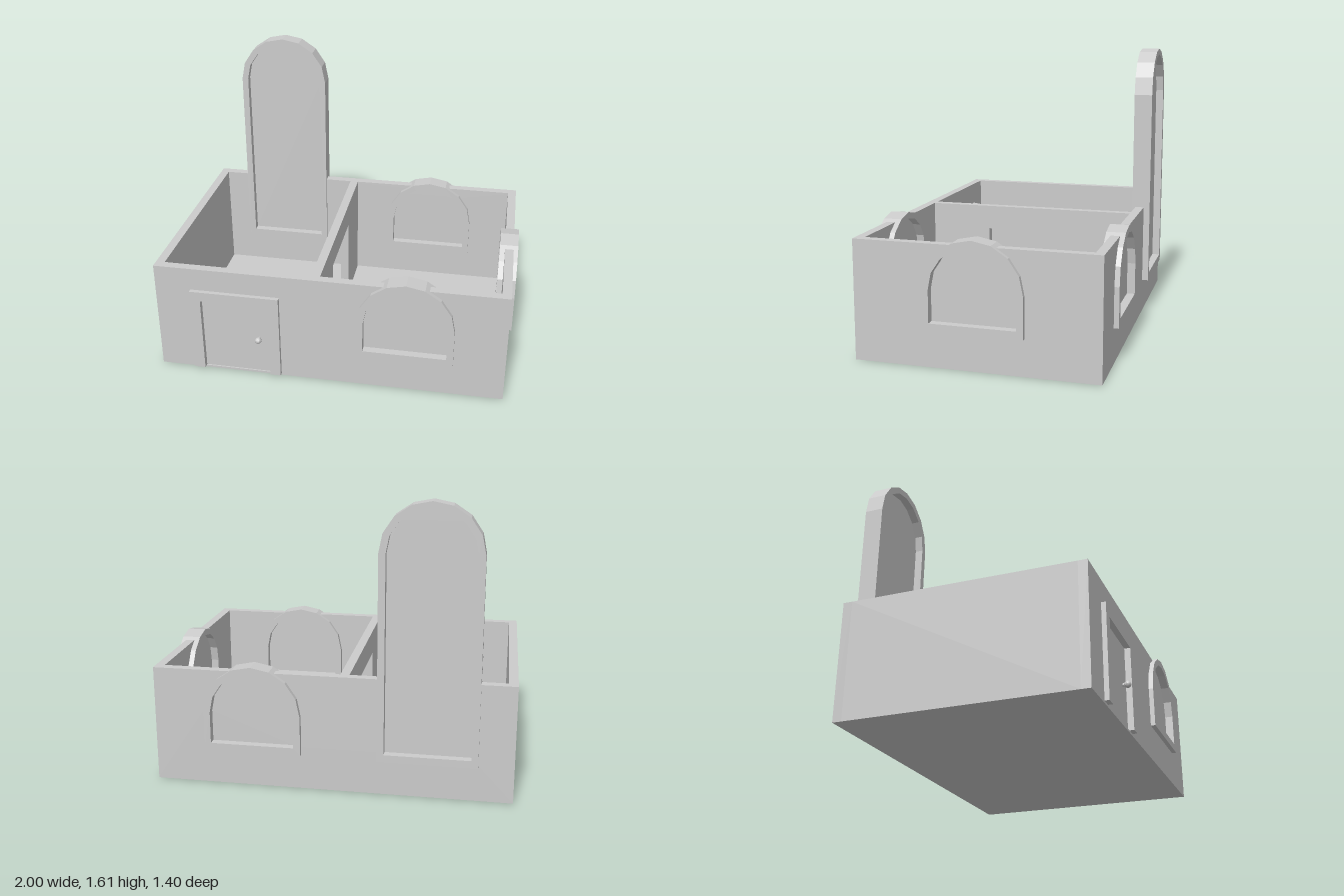
import * as THREE from 'three';

const H = 0.655;             // wall height
const T = 0.05;              // wall thickness
const FRAME = 0.0375;        // window frame width
const DEPTH = 0.105;         // frame depth through the wall
const material = new THREE.MeshStandardMaterial({ color: 0xcccccc, flatShading: true });

// Outline from a list of [x, y] corners
function polygon(points, Type = THREE.Shape) {
  return new Type(points.map(([x, y]) => new THREE.Vector2(x, y)));
}

function rect(x0, y0, x1, y1, Type) {
  return polygon([[x0, y0], [x1, y0], [x1, y1], [x0, y1]], Type);
}

// Round-headed opening centred on x, with sill, springing height and radius
function arch(x, sill, spring, r, Type = THREE.Shape) {
  const s = new Type();
  s.moveTo(x - r, sill);
  s.lineTo(x + r, sill);
  s.lineTo(x + r, spring);
  s.absarc(x, spring, r, 0, Math.PI, false);
  s.lineTo(x - r, sill);
  return s;
}

// Extrusion centred on its own thickness
function slab(name, shape, depth) {
  const geo = new THREE.ExtrudeGeometry(shape, { depth, bevelEnabled: false, curveSegments: 4 });
  geo.translate(0, 0, -depth / 2);
  const mesh = new THREE.Mesh(geo, material);
  mesh.name = name;
  return mesh;
}

// Arched window: frame ring and thin recessed pane
function windowUnit(name, spring) {
  const g = new THREE.Group();
  g.name = name;
  const r = 0.27;
  const frame = arch(0, 0.2, spring, r);
  frame.holes.push(arch(0, 0.243, spring, r - FRAME, THREE.Path));
  g.add(slab('windowFrame', frame, DEPTH));
  g.add(slab('windowPane', arch(0, 0.24, spring, r - FRAME + 0.003), 0.015));
  return g;
}

// Door: three-sided frame, panel and a knob on each face
function doorUnit() {
  const g = new THREE.Group();
  g.name = 'frontDoor';
  g.add(slab('doorFrame', polygon([
    [-0.255, 0.012], [-0.195, 0.012], [-0.195, 0.465], [0.195, 0.465],
    [0.195, 0.012], [0.255, 0.012], [0.255, 0.522], [-0.255, 0.522],
  ]), DEPTH));
  g.add(slab('doorPanel', rect(-0.195, 0.012, 0.195, 0.465), 0.04));
  for (const side of [1, -1]) {
    const knob = new THREE.Mesh(new THREE.SphereGeometry(0.019, 12, 8), material);
    knob.name = 'doorKnob';
    knob.position.set(0.13, 0.235, side * 0.046);
    const stem = new THREE.Mesh(new THREE.CylinderGeometry(0.009, 0.009, 0.03, 10), material);
    stem.name = 'knobStem';
    stem.rotation.x = Math.PI / 2;
    stem.position.set(0.13, 0.235, side * 0.03);
    g.add(knob, stem);
  }
  return g;
}

export function createModel() {
  const model = new THREE.Group();
  model.name = 'house';
  const place = (part, x, z, turn = 0) => {
    part.position.set(x, 0, z);
    part.rotation.y = turn;
    model.add(part);
  };
  const left = -1, right = 0.975, zWall = 0.637, zIn = 0.612;
  const xTall = -0.54, xWin = 0.42, spring = 0.42, rIn = 0.27 - FRAME;

  // Floor
  const floor = new THREE.Mesh(new THREE.BoxGeometry(right - left - 2 * T, 0.01, 2 * zIn), material);
  floor.name = 'floor';
  floor.position.set((left + right) / 2, 0.005, 0);
  model.add(floor);

  // Front wall with door and window openings
  const front = rect(left, 0, right, H);
  front.holes.push(rect(xTall - 0.195, 0.012, xTall + 0.195, 0.465, THREE.Path));
  front.holes.push(arch(xWin, 0.243, spring, rIn, THREE.Path));
  place(slab('frontWall', front, T), 0, zWall);

  // Back wall, notched for the tall window
  const back = polygon([
    [left, 0], [right, 0], [right, H], [xTall + rIn, H], [xTall + rIn, 0.243],
    [xTall - rIn, 0.243], [xTall - rIn, H], [left, H],
  ]);
  back.holes.push(arch(xWin, 0.243, spring, rIn, THREE.Path));
  place(slab('backWall', back, T), 0, -zWall);

  // Side walls
  const side = rect(-zIn, 0, zIn, H);
  place(slab('rightWall', side, T), left + T / 2, 0, Math.PI / 2);
  const pierced = rect(-zIn, 0, zIn, H);
  pierced.holes.push(arch(-0.005, 0.243, spring, rIn, THREE.Path));
  place(slab('leftWall', pierced, T), right - T / 2, 0, Math.PI / 2);

  // Inner partition with a doorway
  place(slab('partition', polygon([
    [-zIn, 0], [-0.255, 0], [-0.255, 0.515], [0.255, 0.515],
    [0.255, 0], [zIn, 0], [zIn, H], [-zIn, H],
  ]), T), -0.085, 0, Math.PI / 2);

  // Door and windows
  place(doorUnit(), xTall, 0.634);
  place(windowUnit('frontWindow', spring), xWin, 0.635);
  place(windowUnit('backWindow', spring), xWin, -0.637);
  place(windowUnit('sideWindow', spring), 0.9475, 0.005, Math.PI / 2);
  place(windowUnit('tallWindow', 1.335), xTall, -0.646);
  return model;
}
